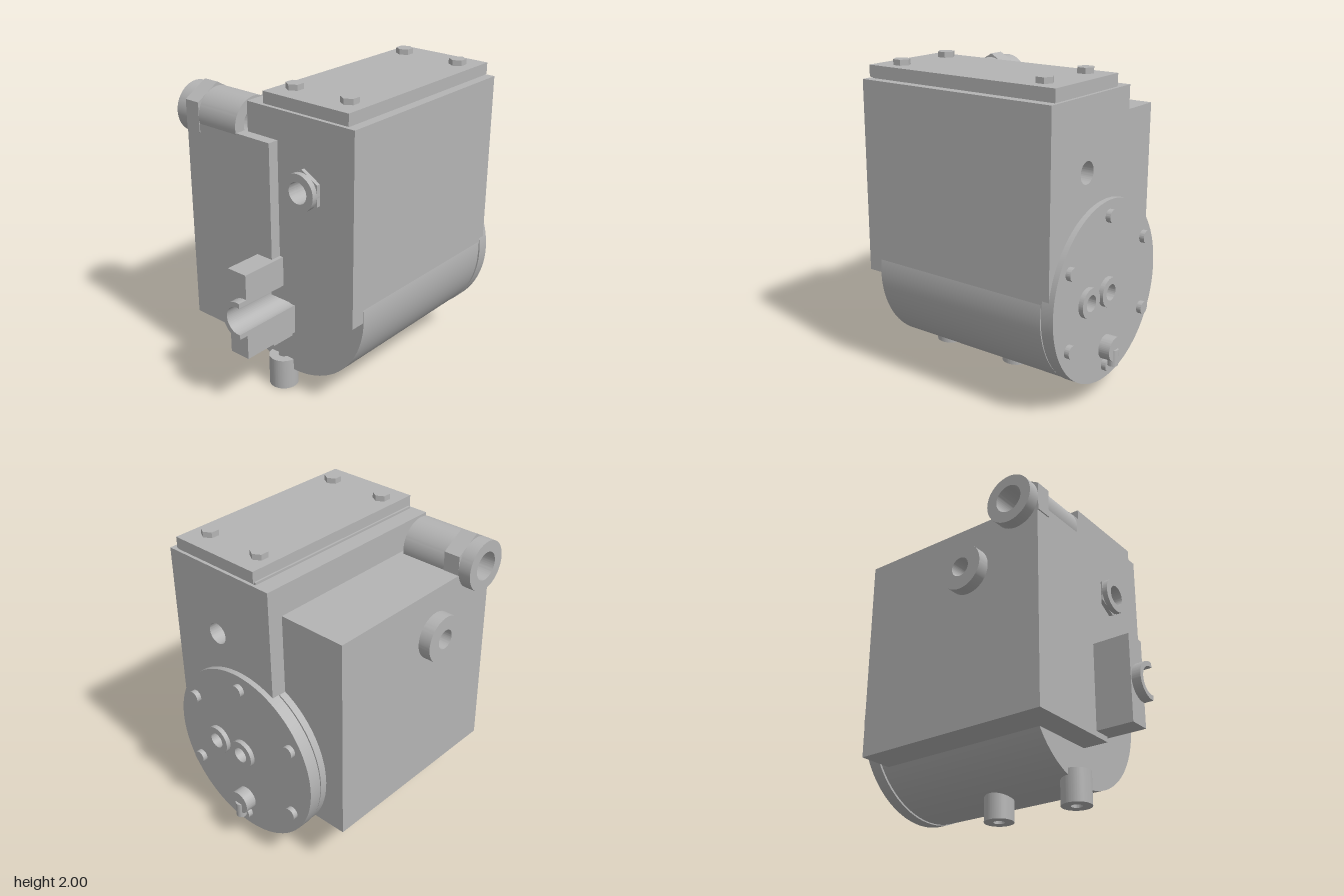
import * as THREE from 'three';
import { toCreasedNormals } from 'three/addons/utils/BufferGeometryUtils.js';

export function createModel() {
  const group = new THREE.Group();
  const grey = new THREE.MeshStandardMaterial({ color: 0xb4b4b4 });
  grey.name = 'castGrey';

  const add = (name, geo) => {
    const mesh = new THREE.Mesh(geo, grey);
    mesh.name = name;
    group.add(mesh);
  };

  // Extrude a shape from a to b along an axis.
  // Shape coordinates: axis x -> (-z, y), axis y -> (x, -z), axis z -> (x, y)
  const extrude = (name, shape, axis, a, b) => {
    let geo = new THREE.ExtrudeGeometry(shape, { depth: b - a, bevelEnabled: false, curveSegments: 48 });
    geo.translate(0, 0, a);
    if (axis === 'x') geo.rotateY(Math.PI / 2);
    if (axis === 'y') geo.rotateX(-Math.PI / 2);
    add(name, toCreasedNormals(geo, 0.5));
  };
  const poly = (pts) => new THREE.Shape(pts.map(([x, y]) => new THREE.Vector2(x, y)));
  const rect = (x0, x1, y0, y1) => poly([[x0, y0], [x1, y0], [x1, y1], [x0, y1]]);
  const disc = (u, v, r) => new THREE.Shape().absarc(u, v, r, 0, Math.PI * 2, false);
  const hex = (u, v, r, turn = 0) => poly(Array.from({ length: 6 }, (_, i) => {
    const a = turn + i * Math.PI / 3;
    return [u + r * Math.cos(a), v + r * Math.sin(a)];
  }));
  const bore = (shape, u, v, r) => {
    shape.holes.push(new THREE.Path().absarc(u, v, r, 0, Math.PI * 2, true));
    return shape;
  };
  const ring = (u, v, r, hole) => bore(disc(u, v, r), u, v, hole);

  // Main housing with a cross bore
  extrude('mainHousing', bore(rect(-0.655, 0.145, 0.68, 1.885), -0.295, 1.45, 0.067), 'x', -0.56, 0.8);

  // Lid, gasket and hex bolts
  extrude('lidGasket', rect(-0.535, 0.78, -0.595, 0.037), 'y', 1.885, 1.9);
  extrude('lid', rect(-0.55, 0.788, -0.605, 0.025), 'y', 1.893, 1.965);
  for (const x of [-0.397, 0.637])
    for (const z of [0.08, 0.485]) extrude('lidBolt', hex(x, -z, 0.054), 'y', 1.965, 2);

  // Drum below the housing
  const cy = 0.69, cz = 0.1;
  extrude('drum', disc(-cz, cy, 0.56), 'x', -0.465, 0.745);

  // End cover with bolt circle and two bushings
  const cover = disc(-cz, cy, 0.564);
  for (const z of [0.1, 0.315]) {
    bore(cover, -z, cy, 0.05);
    extrude('bushing', ring(-z, cy, 0.092, 0.05), 'x', 0.835, 0.865);
  }
  extrude('endCover', cover, 'x', 0.755, 0.835);
  for (let i = 0; i < 6; i++) {
    const a = Math.PI / 2 + i * Math.PI / 3;
    extrude('coverBolt', disc(-cz + 0.47 * Math.cos(a), cy + 0.47 * Math.sin(a), 0.04), 'x', 0.835, 0.867);
  }

  // Drain tap on the cover
  extrude('drainTap', disc(-cz, 0.335, 0.075), 'x', 0.835, 0.91);
  extrude('drainSpout', disc(0.893, -cz, 0.032), 'y', 0.23, 0.333);

  // Rear tank with a groove for the fitting and a bored port
  const fx = -0.475, fy = 1.73;
  const tank = new THREE.Shape();
  tank.moveTo(-0.63, 0.375);
  tank.lineTo(0.7, 0.375);
  tank.lineTo(0.7, 1.7);
  tank.absarc(fx, fy, 0.09, -0.34, -Math.PI + 0.34, true);
  tank.lineTo(-0.63, 1.7);
  tank.closePath();
  extrude('rearTank', bore(tank, -0.11, 1.39, 0.062), 'z', -0.59, -0.03);
  extrude('rearPort', ring(-0.11, 1.39, 0.15, 0.062), 'z', -0.67, -0.59);

  // Hollow fitting on top of the tank, with its hex nut
  extrude('fitting', ring(fx, fy, 0.16, 0.09), 'z', -0.67, -0.172);
  extrude('fittingNut', bore(hex(fx, fy, 0.185, Math.PI / 2), fx, fy, 0.1), 'z', -0.588, -0.48);

  // Blocks with a half-round groove open to the front
  const grooveR = 0.09;
  const groove = (shape, zFront) => {
    const a = Math.acos((cz - zFront) / grooveR);
    shape.absarc(-cz, cy, grooveR, a, -a, true);
    shape.closePath();
    return shape;
  };
  const saddle = (y0, y1, zBack, zFront) => {
    const s = new THREE.Shape();
    s.moveTo(-zFront, y0);
    s.lineTo(-zBack, y0);
    s.lineTo(-zBack, y1);
    s.lineTo(-zFront, y1);
    return groove(s, zFront);
  };
  extrude('tankSide', saddle(0.375, 1.7, -0.03, 0.09), 'x', -0.63, -0.465);
  extrude('shaftBlock', saddle(0.41, 0.97, -0.028, 0.115), 'x', -0.875, -0.465);

  // Open half collar at the end of the block
  const A = Math.acos((cz - 0.115) / 0.121);
  const collar = new THREE.Shape().absarc(-cz, cy, 0.121, -A, A, false);
  extrude('shaftCollar', groove(collar, 0.115), 'x', -0.935, -0.875);

  // Side port around the cross bore
  extrude('sidePort', ring(-0.295, 1.45, 0.115, 0.067), 'x', -0.62, -0.56);
  extrude('sidePortNut', bore(hex(-0.295, 1.45, 0.132, Math.PI / 2), -0.295, 1.45, 0.08), 'x', -0.585, -0.56);

  // Drain pipes underneath
  extrude('drainPipe', ring(-0.458, -0.005, 0.093, 0.035), 'y', 0, 0.205);
  extrude('drainPipe', ring(0.105, -0.005, 0.093, 0.035), 'y', 0, 0.18);

  return group;
}
